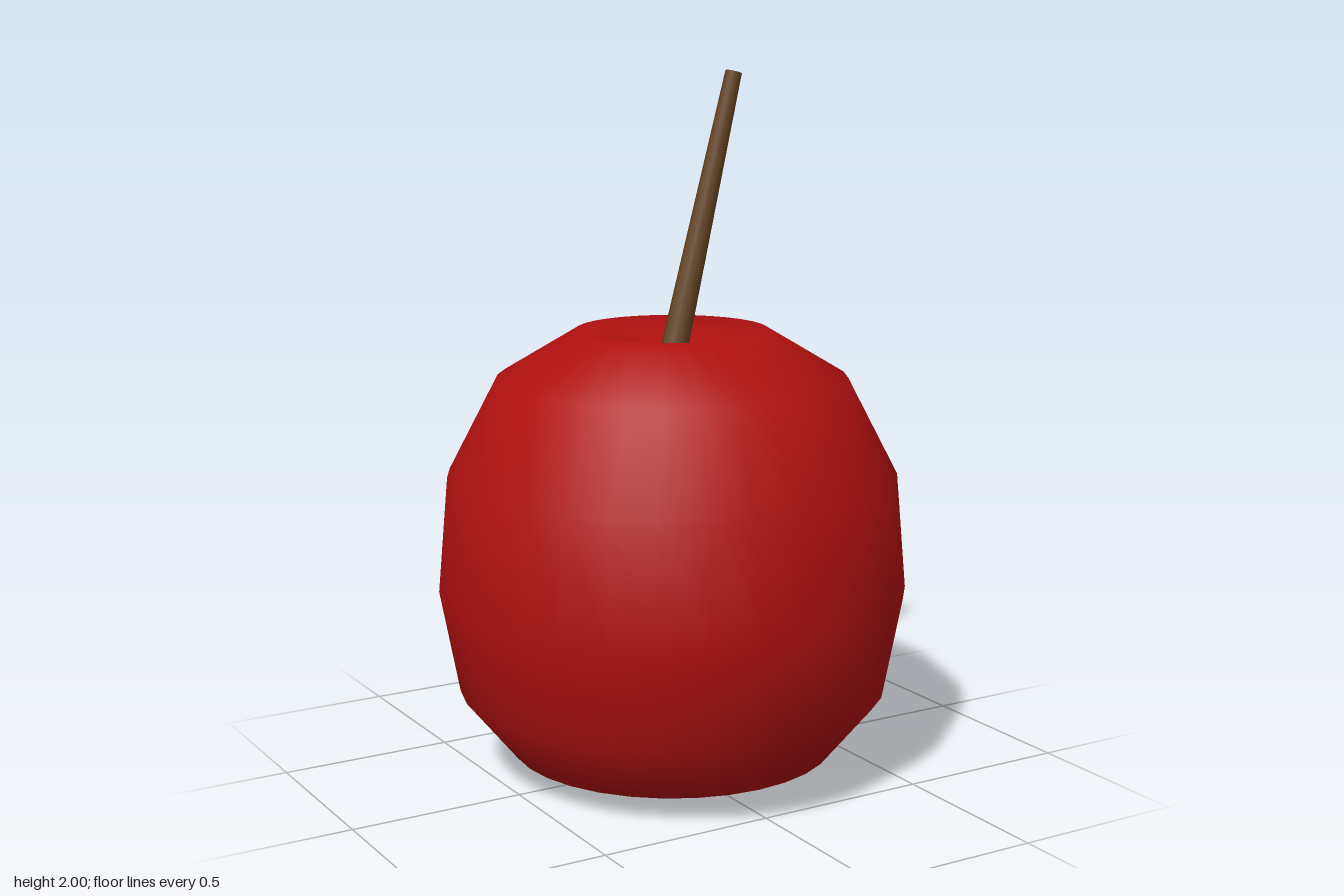
import * as THREE from 'three';

export function createModel() {
  const model = new THREE.Group();
  const red = new THREE.MeshStandardMaterial({ color: 0xb01010 });
  red.name = 'cherry red';
  const brown = new THREE.MeshStandardMaterial({ color: 0x654321 });
  brown.name = 'stem brown';

  // Fruit: smooth turned body with a shallow dimple on top
  const profile = [
    [0, 0], [0.2, 0.003], [0.465, 0.07], [0.612, 0.25], [0.667, 0.545],
    [0.638, 0.875], [0.495, 1.15], [0.27, 1.285], [0.1, 1.24], [0, 1.215],
  ].map(([r, y]) => new THREE.Vector2(r, y));
  const fruit = new THREE.Mesh(new THREE.LatheGeometry(profile, 32), red);
  fruit.name = 'fruit';
  model.add(fruit);

  // Stem: tapered stick leaning to the model's left, rooted in the dimple
  const base = new THREE.Vector3(0, 1.2, 0);
  const tip = new THREE.Vector3(0.2, 1.994, 0);
  const axis = tip.clone().sub(base);
  const stem = new THREE.Mesh(new THREE.CylinderGeometry(0.024, 0.04, axis.length(), 8), brown);
  stem.name = 'stem';
  stem.position.copy(base).add(tip).multiplyScalar(0.5);
  stem.quaternion.setFromUnitVectors(new THREE.Vector3(0, 1, 0), axis.normalize());
  model.add(stem);

  return model;
}
